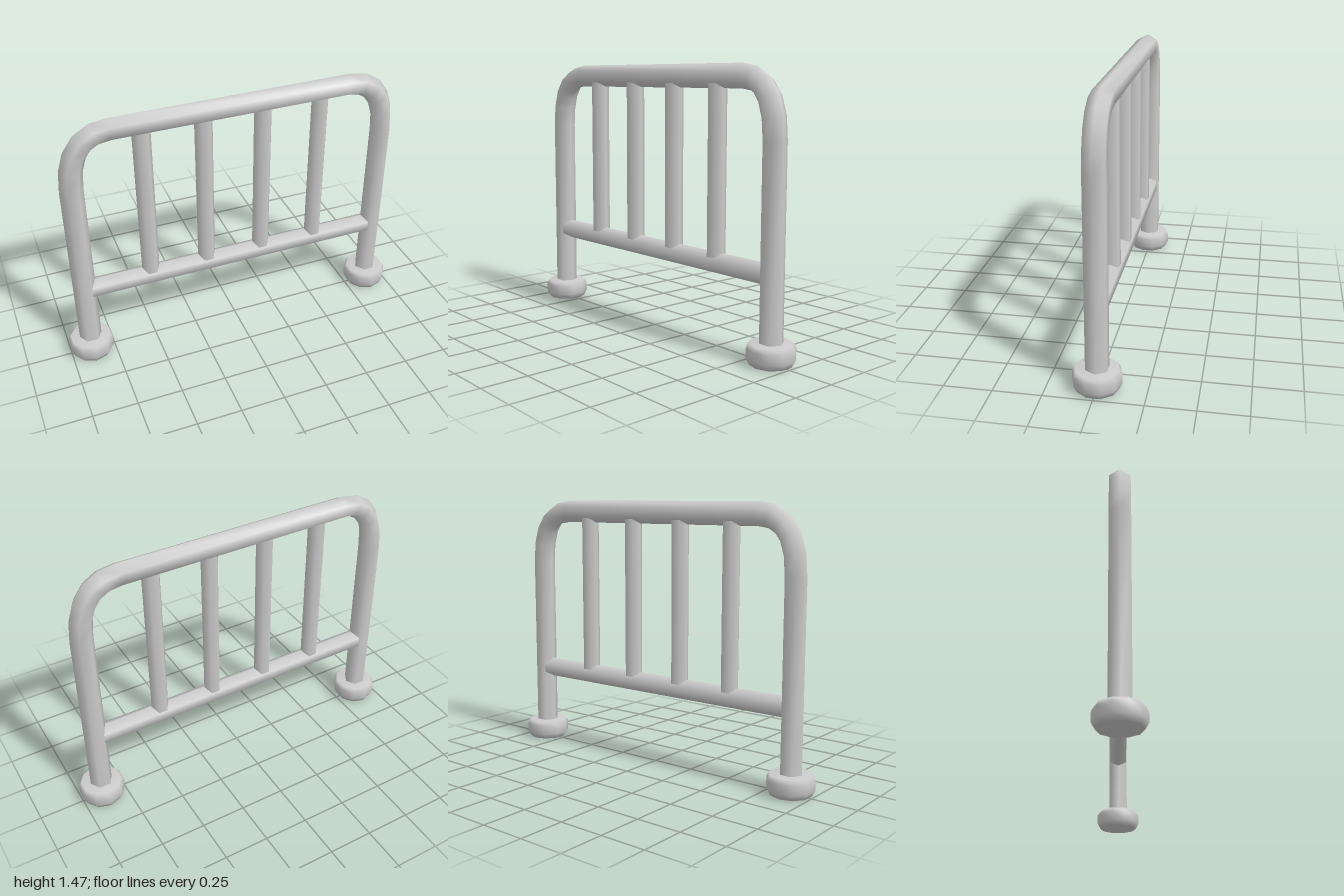
import * as THREE from 'three';

const SIDES = 6;
const material = new THREE.MeshStandardMaterial({ color: 0xcccccc });

function addMesh(parent, geometry, name) {
  const mesh = new THREE.Mesh(geometry, material);
  mesh.name = name;
  parent.add(mesh);
  return mesh;
}

// Hexagonal bar along y, with two of its edges facing +x and -x
function barGeometry(radius, length) {
  return new THREE.CylinderGeometry(radius, radius, length, SIDES).rotateY(Math.PI / 6);
}

// Hexagonal tube swept along a path lying in the xy plane
function sweepTube(stations, radius) {
  const positions = [];
  const indices = [];
  stations.forEach(({ point, tangent }, i) => {
    for (let j = 0; j < SIDES; j++) {
      const a = (j / SIDES) * Math.PI * 2;
      const out = radius * Math.cos(a);
      positions.push(point.x + tangent.y * out, point.y - tangent.x * out, radius * Math.sin(a));
      if (i === stations.length - 1) continue;
      const p = i * SIDES + j;
      const q = i * SIDES + ((j + 1) % SIDES);
      indices.push(p, p + SIDES, q, q, p + SIDES, q + SIDES);
    }
  });
  const geometry = new THREE.BufferGeometry();
  geometry.setAttribute('position', new THREE.Float32BufferAttribute(positions, 3));
  geometry.setIndex(indices);
  geometry.computeVertexNormals();
  return geometry;
}

// Path of the frame: up one leg, round the bend, across, and down again
function frameStations() {
  const legX = 0.88, topY = 1.405, steps = 5;
  const v = (x, y) => new THREE.Vector2(x, y);
  const bend = new THREE.QuadraticBezierCurve(v(legX, 1.1), v(legX, topY), v(0.66, topY));
  const half = [{ point: v(legX, 0.04), tangent: v(0, 1) }];
  for (let i = 0; i <= steps; i++) {
    half.push({ point: bend.getPoint(i / steps), tangent: bend.getTangent(i / steps) });
  }
  const mirrored = half.map(({ point, tangent }) => ({
    point: v(-point.x, point.y),
    tangent: v(tangent.x, -tangent.y),
  })).reverse();
  return [...half, ...mirrored];
}

export function createModel() {
  const model = new THREE.Group();
  model.name = 'bedEndFrame';

  // Bent outer frame with both legs
  addMesh(model, sweepTube(frameStations(), 0.0625), 'outerFrame');

  // Lower cross rail
  const rail = addMesh(model, barGeometry(0.056, 1.74), 'lowerRail');
  rail.rotation.z = Math.PI / 2;
  rail.position.y = 0.445;

  // Upright bars between the rails
  const bars = new THREE.Group();
  bars.name = 'uprightBars';
  model.add(bars);
  const bottom = 0.445, top = 1.4;
  for (let i = 0; i < 4; i++) {
    const bar = addMesh(bars, barGeometry(0.05, top - bottom), 'uprightBar');
    bar.position.set(-0.5 + i * 0.33, (bottom + top) / 2, 0);
  }

  // Round feet with softened rims
  const footProfile = [
    [0, 0], [0.108, 0], [0.126, 0.032], [0.126, 0.084], [0.112, 0.108], [0, 0.108],
  ].map(([x, y]) => new THREE.Vector2(x, y));
  const footGeometry = new THREE.LatheGeometry(footProfile, 10);
  for (const side of [1, -1]) {
    const foot = addMesh(model, footGeometry, side > 0 ? 'leftFoot' : 'rightFoot');
    foot.position.x = side * 0.88;
  }

  return model;
}
